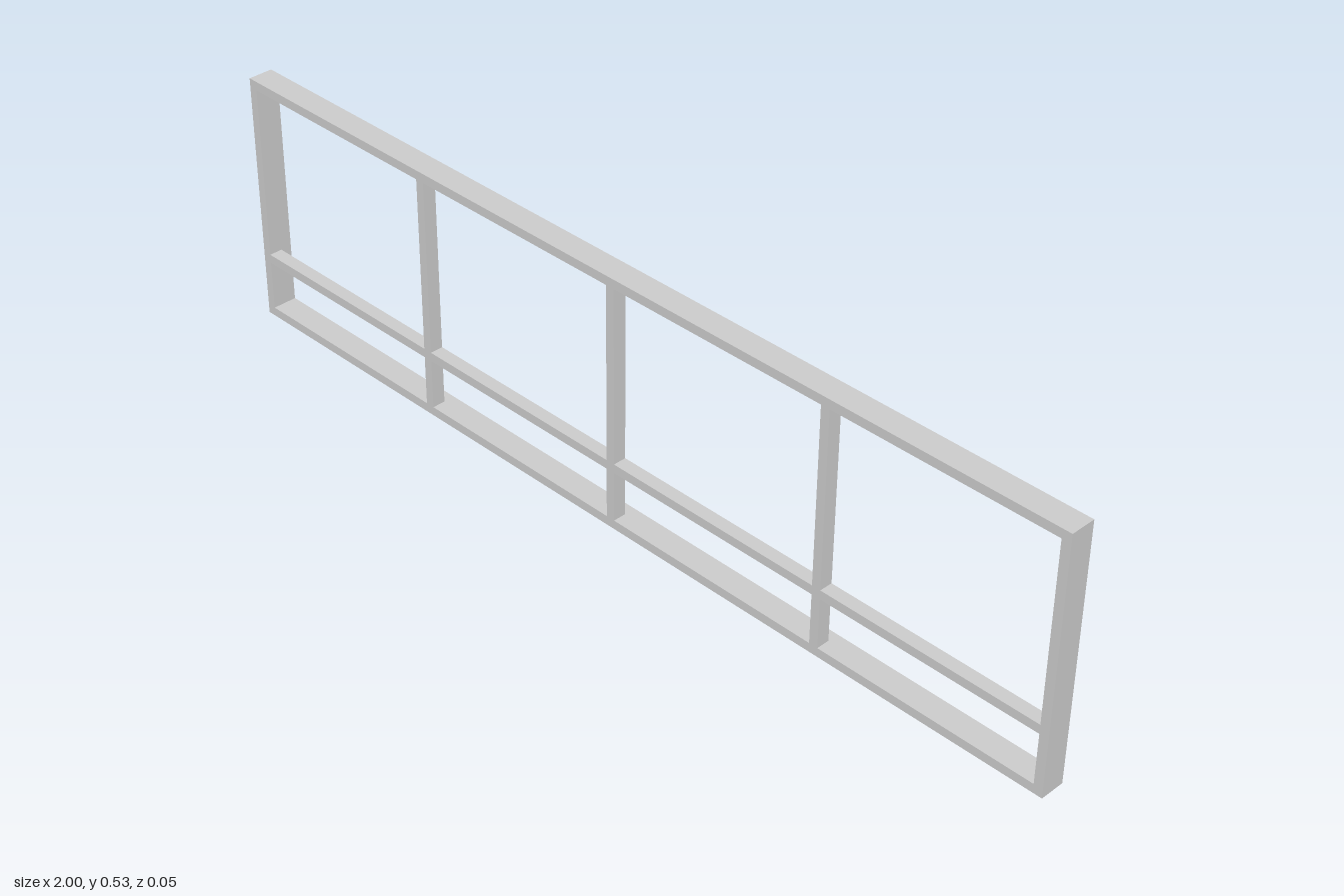
import * as THREE from 'three';

const W = 2, H = 0.534, D = 0.052; // overall frame
const BAR = 0.019;                 // face width of every bar
const INNER_D = 0.028;             // inner bars sit at the front half of the frame
const RAIL_Y = 0.135;

export function createModel() {
  const group = new THREE.Group();
  const material = new THREE.MeshStandardMaterial({ color: 0xcccccc });

  const add = (name, geometry, x = 0, y = 0, z = 0) => {
    const mesh = new THREE.Mesh(geometry, material);
    mesh.name = name;
    mesh.position.set(x, y, z);
    group.add(mesh);
  };

  const rectangle = (path, x0, y0, x1, y1) => {
    path.moveTo(x0, y0);
    path.lineTo(x1, y0);
    path.lineTo(x1, y1);
    path.lineTo(x0, y1);
    path.closePath();
    return path;
  };

  // Outer frame: one rectangle with a rectangular opening
  const outline = rectangle(new THREE.Shape(), -W / 2, 0, W / 2, H);
  outline.holes.push(rectangle(new THREE.Path(), -W / 2 + BAR, BAR, W / 2 - BAR, H - BAR));
  add('outerFrame', new THREE.ExtrudeGeometry(outline, { depth: D, bevelEnabled: false }), 0, 0, -D / 2);

  // Three upright mullions, flush with the front
  const innerZ = D / 2 - INNER_D / 2;
  const mullions = [-0.5, 0, 0.5];
  for (const x of mullions) {
    add('mullion', new THREE.BoxGeometry(BAR, H - 2 * BAR, INNER_D), x, H / 2, innerZ);
  }

  // Low cross rail, split into segments between the uprights
  const stops = [-W / 2 + BAR / 2, ...mullions, W / 2 - BAR / 2];
  for (let i = 0; i < stops.length - 1; i++) {
    const length = stops[i + 1] - stops[i] - BAR;
    add('crossRail', new THREE.BoxGeometry(length, BAR, INNER_D), (stops[i] + stops[i + 1]) / 2, RAIL_Y, innerZ);
  }
  return group;
}
